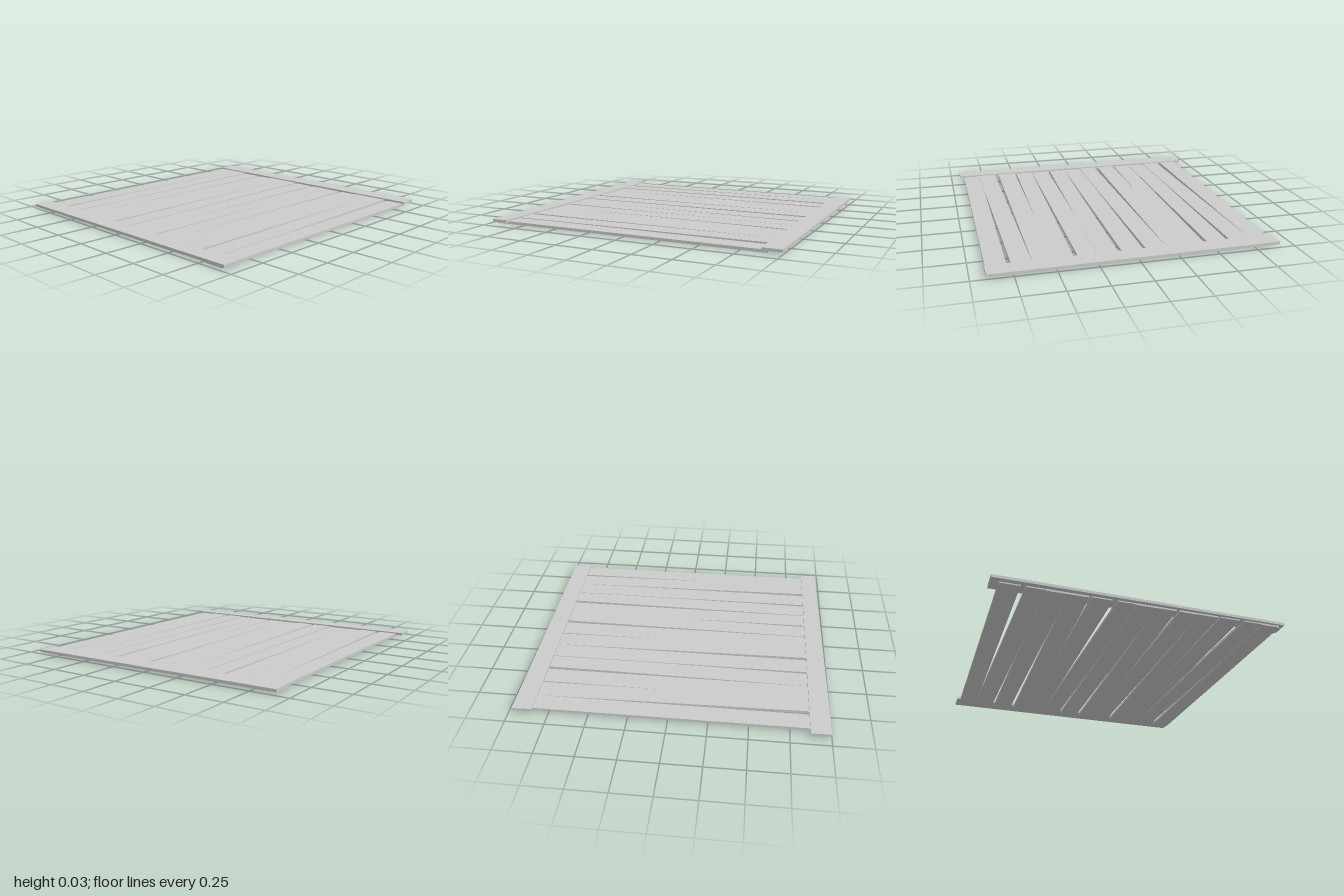
import * as THREE from 'three';

const material = new THREE.MeshStandardMaterial({ color: 0xcccccc, flatShading: true });

// Flat board from four [x, z] corners, lying between y0 and y0 + thickness
function board(name, corners, y0, thickness) {
  const shape = new THREE.Shape(corners.map(([x, z]) => new THREE.Vector2(x, -z)));
  const geometry = new THREE.ExtrudeGeometry(shape, { depth: thickness, bevelEnabled: false });
  geometry.rotateX(-Math.PI / 2).translate(0, y0, 0);
  const mesh = new THREE.Mesh(geometry, material);
  mesh.name = name;
  return mesh;
}

export function createModel() {
  const group = new THREE.Group();
  group.name = 'plankPanel';

  // Planks: left and right x at the back, left and right x at the front, lift
  const planks = [
    [-0.885, -0.760, -0.885, -0.760, 0.004],
    [-0.760, -0.627, -0.730, -0.606, 0.004],
    [-0.612, -0.480, -0.612, -0.480, 0],
    [-0.455, -0.326, -0.479, -0.350, 0],
    [-0.337, -0.205, -0.337, -0.205, 0.004],
    [-0.204, -0.073, -0.177, -0.052, 0.004],
    [-0.058, 0.077, -0.058, 0.077, 0],
    [0.101, 0.232, 0.079, 0.203, 0.001],
    [0.220, 0.351, 0.220, 0.351, 0],
    [0.377, 0.502, 0.354, 0.480, 0.001],
    [0.494, 0.627, 0.494, 0.627, 0.004],
    [0.628, 0.752, 0.655, 0.784, 0.004],
    [0.777, 0.902, 0.777, 0.902, 0],
  ];
  const zBack = -0.915, zFront = 0.965, zGauge = 0.87;
  planks.forEach(([bl, br, fl, fr, lift], i) => {
    // x values are gauged at z = -0.87 and 0.87, then extended to the plank ends
    const at = (b, f, z) => b + (f - b) * (z + zGauge) / (2 * zGauge);
    group.add(board(`plank${i + 1}`, [
      [at(bl, fl, zFront), zFront], [at(br, fr, zFront), zFront],
      [at(br, fr, zBack), zBack], [at(bl, fl, zBack), zBack],
    ], lift, 0.018));
  });

  // Slightly crooked cross rails over both ends
  group.add(board('backRail',
    [[-0.905, -0.853], [0.909, -0.876], [0.907, -1], [-0.909, -0.98]], 0.012, 0.018));
  group.add(board('frontRail',
    [[-0.936, 1], [0.931, 0.98], [0.931, 0.872], [-0.936, 0.872]], 0.012, 0.018));

  return group;
}
